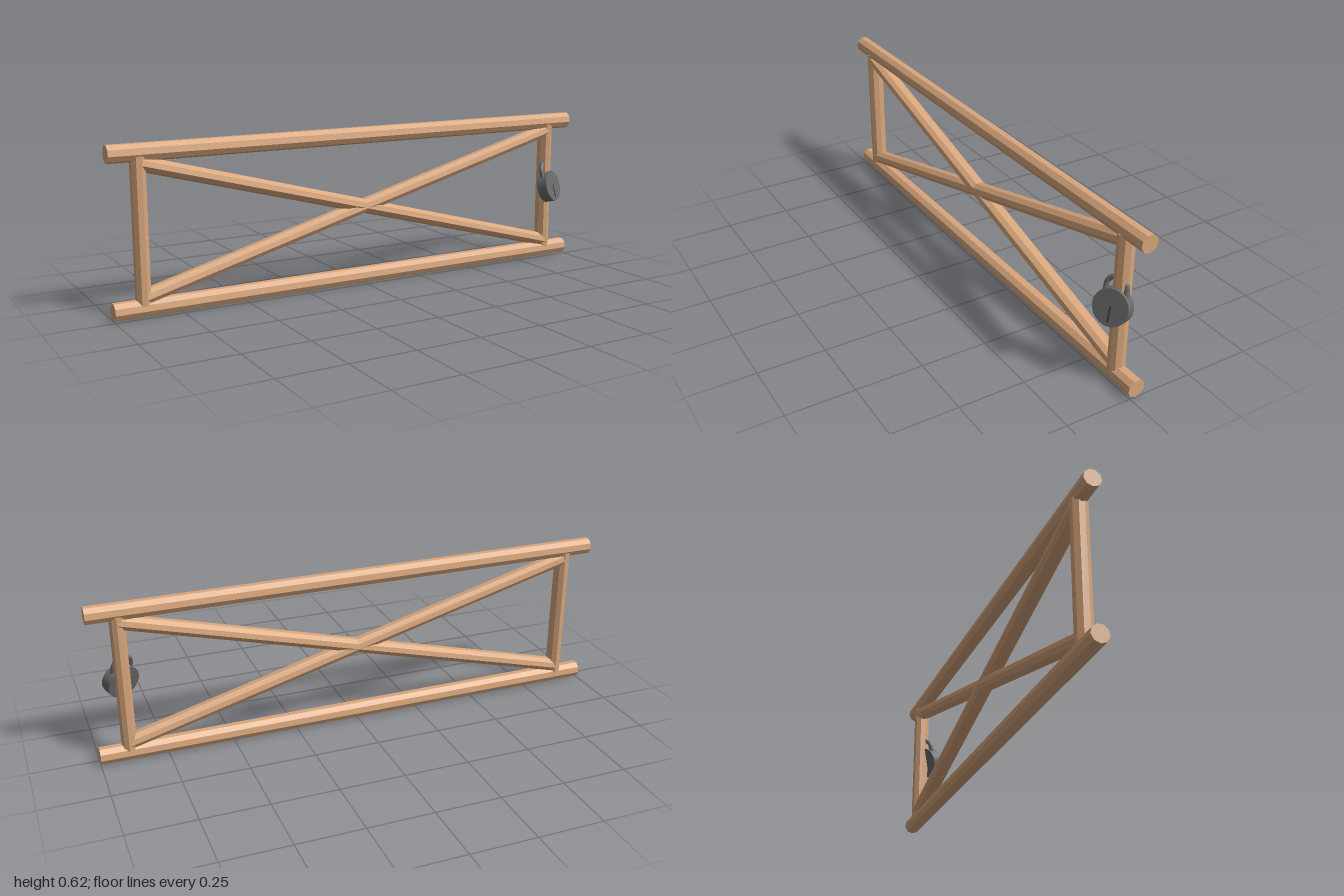
import * as THREE from 'three';

const wood = new THREE.MeshStandardMaterial({ color: 0xd8a67c, flatShading: true });
const metal = new THREE.MeshStandardMaterial({ color: 0x6b6b6b });
const dark = new THREE.MeshStandardMaterial({ color: 0x333333 });

const RADIUS = 0.033;
const BEAM_Z = -0.024;

// Nine-sided pole between two points of the gate plane, squashed across its width
function pole(name, x1, y1, x2, y2, squash = 1) {
  const length = Math.hypot(x2 - x1, y2 - y1);
  const geometry = new THREE.CylinderGeometry(RADIUS, RADIUS, length, 9);
  geometry.rotateY(Math.PI / 2).scale(squash, 1, 1);
  const mesh = new THREE.Mesh(geometry, wood);
  mesh.name = name;
  mesh.position.set((x1 + x2) / 2, (y1 + y2) / 2, BEAM_Z);
  mesh.rotation.z = Math.atan2(y2 - y1, x2 - x1) - Math.PI / 2;
  return mesh;
}

// Round padlock: drum body, keyhole slot and U-shaped shackle
function createPadlock() {
  const lock = new THREE.Group();
  lock.name = 'padlock';
  const depth = 0.043;

  const body = new THREE.Mesh(new THREE.CylinderGeometry(0.064, 0.064, depth, 32), metal);
  body.name = 'padlockBody';
  body.rotation.x = Math.PI / 2;

  const slot = new THREE.Mesh(new THREE.BoxGeometry(0.005, 0.054, 0.002), dark);
  slot.name = 'keyhole';
  slot.position.set(0, -0.022, depth / 2);

  const r = 0.037, archY = 0.065;
  const path = new THREE.CurvePath();
  const arch = [];
  for (let i = 0; i <= 12; i++) {
    const a = (i / 12) * Math.PI;
    arch.push(new THREE.Vector3(r * Math.cos(a), archY + r * Math.sin(a), 0));
  }
  path.add(new THREE.LineCurve3(new THREE.Vector3(r, 0.03, 0), arch[0]));
  path.add(new THREE.CatmullRomCurve3(arch));
  path.add(new THREE.LineCurve3(arch[12], new THREE.Vector3(-r, 0.03, 0)));
  const shackle = new THREE.Mesh(new THREE.TubeGeometry(path, 32, 0.009, 12), metal);
  shackle.name = 'shackle';

  lock.add(body, slot, shackle);
  lock.position.set(0.893, 0.308, 0.012);
  lock.rotation.set(-0.27, 0.44, 0, 'YXZ');
  return lock;
}

export function createModel() {
  const gate = new THREE.Group();
  gate.name = 'gate';
  const low = 0.033, high = 0.585, mid = (low + high) / 2;

  // Long horizontal rails
  gate.add(pole('bottomRail', -1, low, 1, low), pole('topRail', -1, high, 1, high));

  // Uprights and crossing braces
  for (const s of [-1, 1]) {
    const side = s > 0 ? 'left' : 'right';
    gate.add(pole(side + 'Post', s * 0.89, 0.045, s * 0.89, 0.573, 0.85));
    gate.add(pole(s > 0 ? 'risingBrace' : 'fallingBrace', -0.89, mid - s * 0.238, 0.89, mid + s * 0.238, 0.85));
  }

  gate.add(createPadlock());
  return gate;
}
